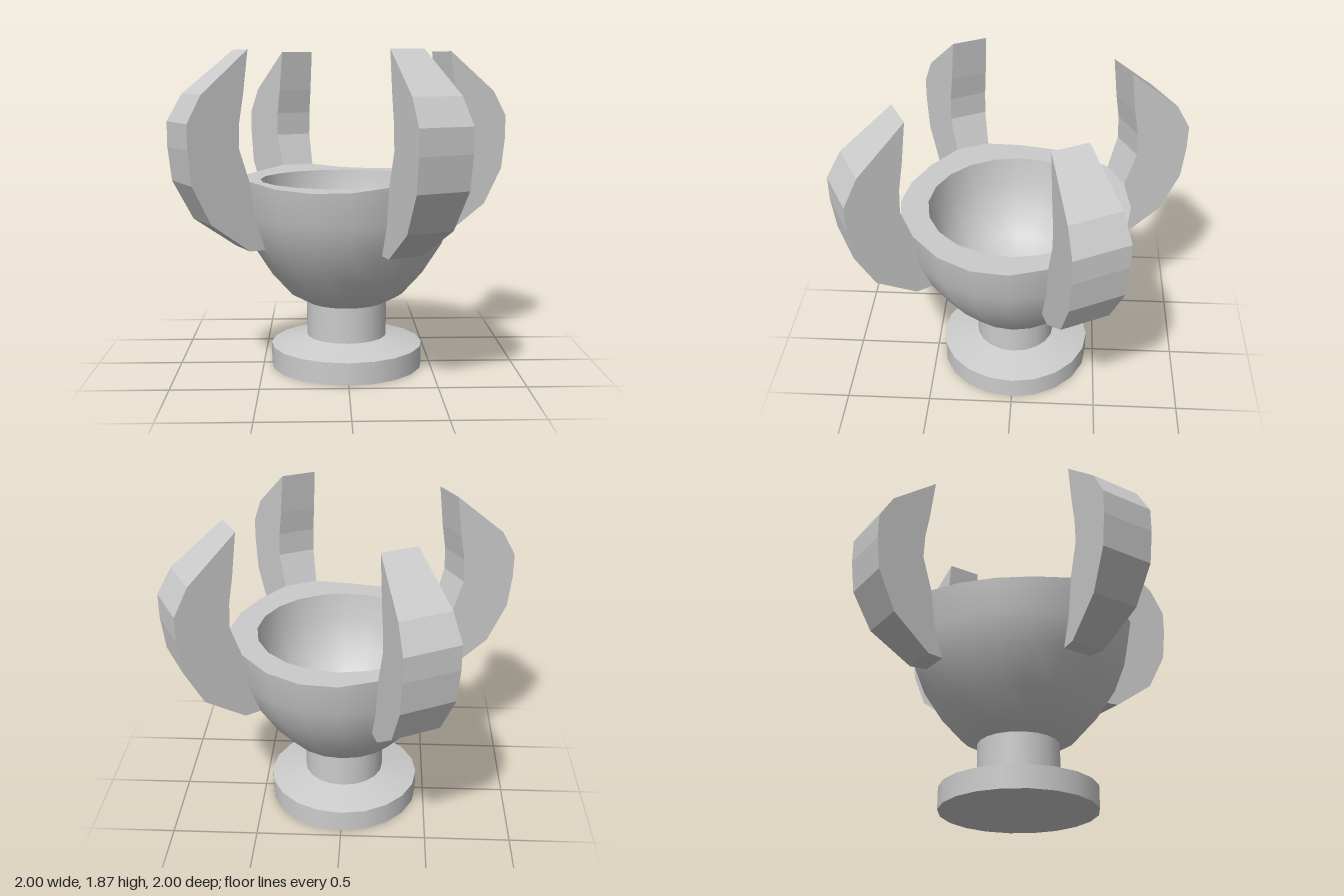
import * as THREE from 'three';

const SIDES = 20;
const STEP = (Math.PI * 2) / SIDES;
// Rim height of the bowl, repeated in every quarter turn
const RIM = [1.12, 1.145, 1.15, 1.125, 1.115];

export function createModel() {
  const model = new THREE.Group();
  const grey = new THREE.MeshStandardMaterial({ color: 0xcccccc });

  // One smooth turned surface; separate surfaces keep the edges between them sharp
  function turned(name, profile) {
    const points = profile.map(([r, y]) => new THREE.Vector2(r, y));
    const mesh = new THREE.Mesh(new THREE.LatheGeometry(points, SIDES), grey);
    mesh.name = name;
    model.add(mesh);
    return mesh;
  }

  // Lifts one ring of a turned surface to the uneven rim
  function waveRing(mesh, ring, count) {
    const pos = mesh.geometry.attributes.position;
    for (let i = 0; i <= SIDES; i++) pos.setY(i * count + ring, RIM[i % 5]);
  }

  // Foot and stem
  turned('footUnderside', [[0, 0], [0.452, 0]]);
  turned('footSide', [[0.452, 0], [0.452, 0.13]]);
  turned('footTop', [[0.452, 0.13], [0.238, 0.18]]);
  turned('stem', [[0.238, 0.18], [0.238, 0.39]]);

  // Bowl: outside, flat rim, hollow inside
  const outer = [[0.238, 0.39], [0.34, 0.445], [0.46, 0.58], [0.575, 0.76], [0.64, 0.93], [0.672, 1.12]];
  waveRing(turned('bowlOutside', outer), outer.length - 1, outer.length);
  waveRing(turned('bowlRim', [[0.672, 1.12], [0.51, 1.12]]), 0, 2);
  turned('bowlInside', [[0.51, 1.12], [0.49, 0.95], [0.435, 0.79], [0.34, 0.65], [0.2, 0.56], [0, 0.52]]);

  // Claw: side profile (radius, height) swept over one side of the bowl
  const clawProfile = [
    [0.56, 0.76], [0.673, 0.76], [0.915, 0.93], [1.03, 1.15], [1.052, 1.34], [1.052, 1.48],
    [0.965, 1.63], [0.673, 1.87], [0.705, 1.63], [0.732, 1.48], [0.738, 1.34],
    [0.673, 1.15], [0.65, 1.1], [0.62, 0.93],
  ];
  const shape = new THREE.Shape(clawProfile.map(([r, y]) => new THREE.Vector2(r, y)));
  const claw = new THREE.ExtrudeGeometry(shape, { depth: 1, bevelEnabled: false });
  const pos = claw.attributes.position;
  for (let i = 0; i < pos.count; i++) {
    const r = pos.getX(i);
    const a = STEP * (2 - pos.getZ(i));
    pos.setXYZ(i, r * Math.sin(a), pos.getY(i), r * Math.cos(a));
  }
  claw.computeVertexNormals();

  for (let k = 0; k < 4; k++) {
    const mesh = new THREE.Mesh(claw, grey);
    mesh.name = 'claw' + (k + 1);
    mesh.rotation.y = (k * Math.PI) / 2;
    model.add(mesh);
  }

  return model;
}
